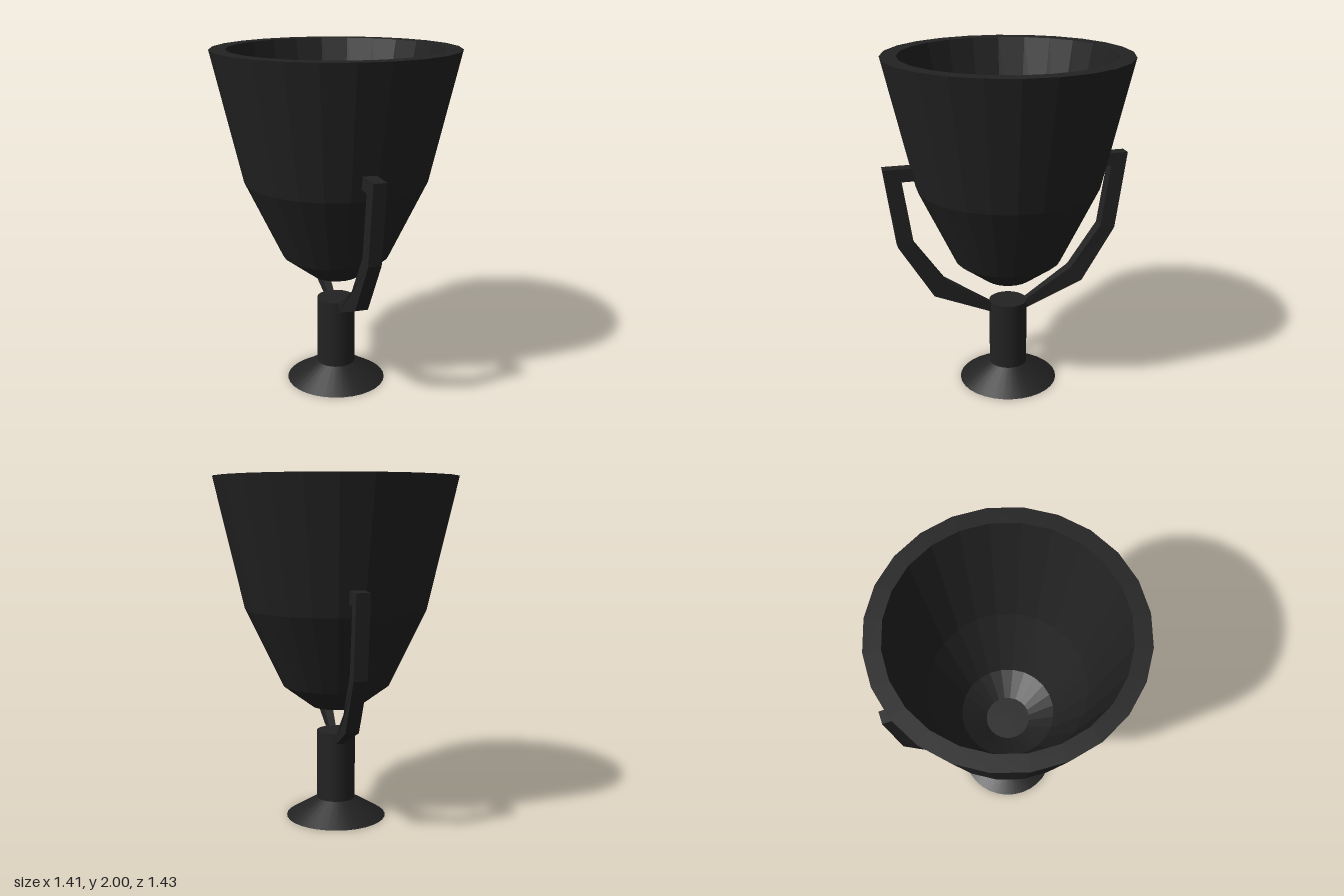
import * as THREE from 'three';

const flatMat = new THREE.MeshStandardMaterial({ color: 0x222222, flatShading: true });
const smoothMat = new THREE.MeshStandardMaterial({ color: 0x222222 });

function addMesh(parent, name, geometry, material) {
  const mesh = new THREE.Mesh(geometry, material);
  mesh.name = name;
  parent.add(mesh);
  return mesh;
}

// Bracket drawn as a side outline (distance from axis, height), narrowing towards the stem
function armGeometry() {
  const width = 0.075;
  const outline = [
    [0.08, 0.445], [0.11, 0.46], [0.455, 0.61], [0.655, 0.935], [0.72, 1.4],
    [0.49, 1.4], [0.49, 1.325], [0.62, 1.325], [0.565, 0.955], [0.385, 0.7],
    [0.11, 0.52], [0.08, 0.505],
  ].map(([r, y]) => new THREE.Vector2(r, y));
  const geo = new THREE.ExtrudeGeometry(new THREE.Shape(outline), { depth: width, bevelEnabled: false });
  geo.translate(0, 0, -width / 2);
  geo.rotateY(-Math.PI / 2);
  const pos = geo.attributes.position;
  for (let i = 0; i < pos.count; i++) {
    const t = THREE.MathUtils.clamp((pos.getZ(i) - 0.11) / 0.345, 0, 1);
    pos.setX(i, pos.getX(i) * (0.55 + 0.45 * t));
  }
  geo.computeVertexNormals();
  return geo;
}

export function createModel() {
  const model = new THREE.Group();
  model.name = 'cupOnStand';

  // Thick-walled cup: outer wall upwards, flat rim, inner wall down to the floor
  const profile = [
    [0, 0.67], [0.14, 0.67], [0.315, 0.8], [0.53, 1.25], [0.703, 2],
    [0.612, 2], [0.45, 1.28], [0.275, 0.86], [0.13, 0.75], [0, 0.75],
  ].map(([r, y]) => new THREE.Vector2(r, y));
  addMesh(model, 'cup', new THREE.LatheGeometry(profile, 24), flatMat);

  // Stem and flared foot
  addMesh(model, 'stem', new THREE.CylinderGeometry(0.113, 0.113, 0.41, 32), smoothMat).position.y = 0.315;
  addMesh(model, 'foot', new THREE.CylinderGeometry(0.113, 0.295, 0.11, 32), smoothMat).position.y = 0.055;

  // Two opposite brackets, turned slightly about the axis
  const arm = armGeometry();
  ['frontArm', 'backArm'].forEach((name, i) => {
    addMesh(model, name, arm, flatMat).rotation.y = 0.168 + i * Math.PI;
  });

  return model;
}
